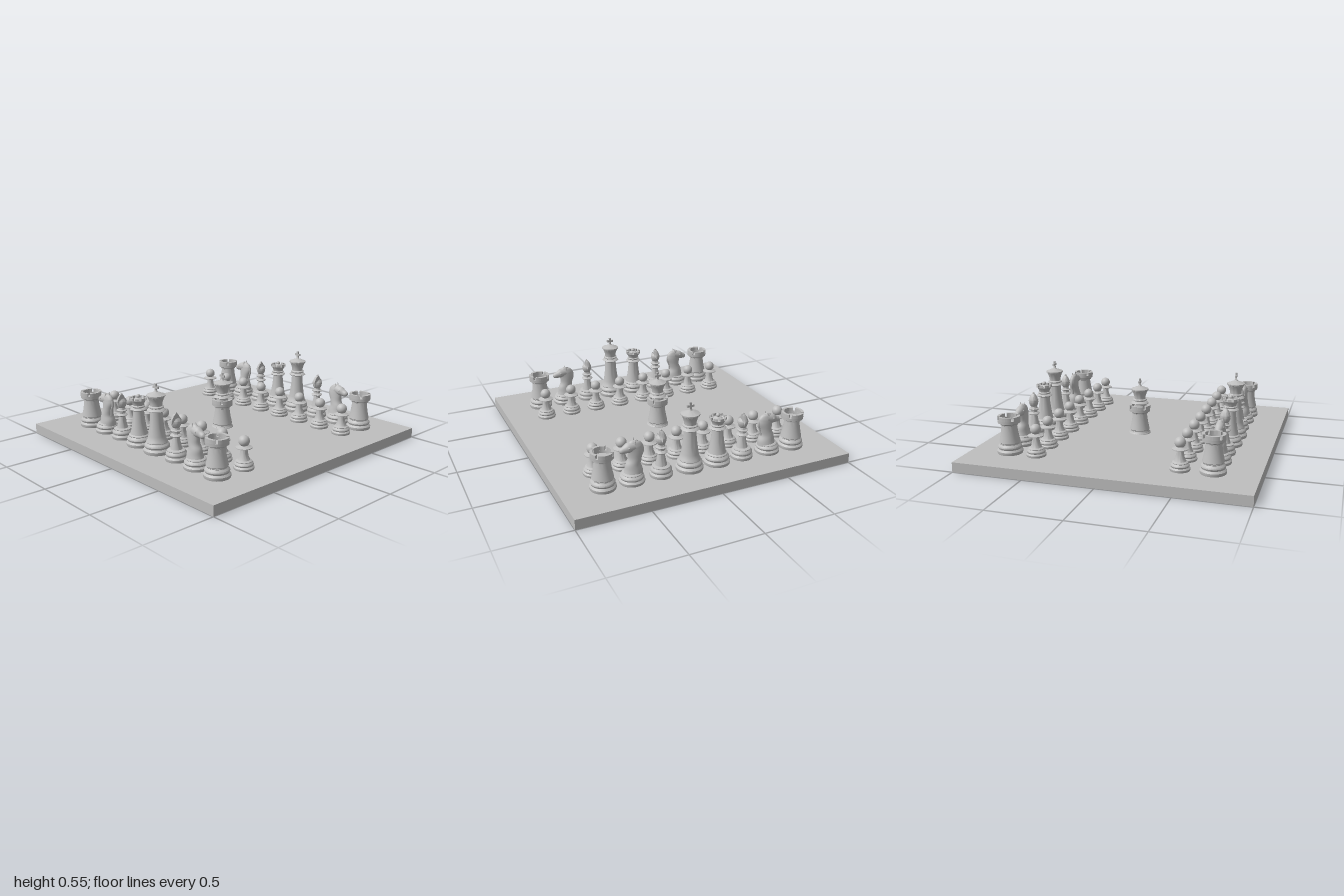
import * as THREE from 'three';
import { toCreasedNormals, mergeVertices } from 'three/addons/utils/BufferGeometryUtils.js';

const stone = new THREE.MeshStandardMaterial({ color: 0xbfbfbf });
stone.name = 'grey stone';
const BOARD = 0.07;

function add(group, name, geo, x = 0, y = 0, z = 0) {
  const mesh = new THREE.Mesh(geo, stone);
  mesh.name = name;
  mesh.position.set(x, y, z);
  group.add(mesh);
  return mesh;
}

// Turned part from [radius, height] pairs, bottom to top
function turned(profile, seg = 32) {
  const pts = profile.map(([r, y]) => new THREE.Vector2(r, y));
  return toCreasedNormals(new THREE.LatheGeometry(pts, seg), 0.6);
}

// Stepped foot shared by all pieces, scaled to radius r and height h
function foot(r, h) {
  return [[0, 0], [0.97, 0], [1, 0.1], [1, 0.28], [0.93, 0.38], [0.87, 0.45], [0.9, 0.52],
    [0.93, 0.62], [0.9, 0.74], [0.8, 0.84], [0.76, 0.9], [0.79, 0.95], [0.78, 1]]
    .map(([a, b]) => [a * r, b * h]);
}

// Ring of n battlement blocks between two radii
function battlements(group, n, inner, outer, y, h, gap, turn) {
  const step = (Math.PI * 2) / n;
  for (let i = 0; i < n; i++) {
    const a0 = turn + i * step + gap / 2, a1 = turn + (i + 1) * step - gap / 2;
    const s = new THREE.Shape();
    s.absarc(0, 0, outer, a0, a1, false);
    s.absarc(0, 0, inner, a1, a0, true);
    s.closePath();
    const g = new THREE.ExtrudeGeometry(s, { depth: h, bevelEnabled: false, curveSegments: 8 });
    g.rotateX(-Math.PI / 2);
    add(group, 'battlement', toCreasedNormals(g, 0.6), 0, y, 0);
  }
}

// Smooth body through elliptical sections [x, y, tilt, half length, half depth]
function loft(sections, rows = 24, seg = 20) {
  const path = new THREE.CatmullRomCurve3(sections.map(s => new THREE.Vector3(s[0], s[1], s[2])));
  const size = new THREE.CatmullRomCurve3(sections.map(s => new THREE.Vector3(s[3], s[4], 0)));
  const pos = [], idx = [];
  for (let i = 0; i <= rows; i++) {
    const p = path.getPoint(i / rows), q = size.getPoint(i / rows);
    for (let j = 0; j < seg; j++) {
      const t = (j / seg) * Math.PI * 2, u = q.x * Math.cos(t);
      pos.push(p.x + u * Math.cos(p.z), p.y + u * Math.sin(p.z), q.y * Math.sin(t));
      if (i === rows) continue;
      const a = i * seg + j, b = i * seg + (j + 1) % seg;
      idx.push(a, a + seg, b, b, a + seg, b + seg);
    }
  }
  const end = sections[sections.length - 1];
  pos.push(end[0], end[1], 0);
  for (let j = 0; j < seg; j++) {
    idx.push(rows * seg + j, (rows + 1) * seg, rows * seg + (j + 1) % seg);
  }
  const g = new THREE.BufferGeometry();
  g.setAttribute('position', new THREE.Float32BufferAttribute(pos, 3));
  g.setIndex(idx);
  g.computeVertexNormals();
  return g;
}

function pawn() {
  const g = new THREE.Group();
  add(g, 'pawnBody', turned([...foot(0.068, 0.055), [0.04, 0.062], [0.031, 0.08], [0.025, 0.11],
    [0.023, 0.132], [0.032, 0.136], [0.054, 0.141], [0.054, 0.146], [0.03, 0.153], [0.02, 0.16], [0, 0.16]]));
  add(g, 'pawnHead', new THREE.SphereGeometry(0.037, 24, 16), 0, 0.186, 0);
  return g;
}

function rook() {
  const g = new THREE.Group();
  add(g, 'rookTower', turned([...foot(0.088, 0.075), [0.073, 0.08], [0.064, 0.12], [0.057, 0.16],
    [0.053, 0.197], [0.06, 0.2], [0.06, 0.207], [0.066, 0.212], [0.076, 0.217], [0.077, 0.238],
    [0.058, 0.238], [0.058, 0.218], [0, 0.218]]));
  battlements(g, 4, 0.058, 0.077, 0.237, 0.026, 0.24, Math.PI / 4);
  return g;
}

function bishop() {
  const g = new THREE.Group();
  add(g, 'bishopBody', turned([...foot(0.078, 0.072), [0.04, 0.078], [0.034, 0.1], [0.026, 0.14],
    [0.023, 0.162], [0.036, 0.165], [0.042, 0.171], [0.036, 0.177], [0.024, 0.183], [0.024, 0.196],
    [0.036, 0.2], [0.038, 0.206], [0.026, 0.212], [0.022, 0.224], [0.03, 0.245], [0, 0.245]]));
  // Mitre: egg shape cut into two halves by a leaning slit
  for (const side of [-1, 1]) {
    const egg = new THREE.SphereGeometry(1, 28, 24);
    const p = egg.attributes.position;
    for (let i = 0; i < p.count; i++) {
      const v = p.getY(i), taper = 1 - 0.35 * Math.max(0, v);
      const y = 0.268 + v * 0.055;
      const cut = 0.006 + Math.max(0, y - 0.25) * 0.12;
      const gap = Math.max(0, Math.min(0.007, (y - 0.245) * 0.25));
      let x = p.getX(i) * 0.036 * taper;
      x = side < 0 ? Math.min(x, cut - gap) : Math.max(x, cut + gap);
      p.setXYZ(i, x, side > 0 && v > 0 ? y - v * 0.02 : y, p.getZ(i) * 0.036 * taper);
    }
    add(g, 'mitreHalf', toCreasedNormals(egg, 0.7));
  }
  add(g, 'mitreTip', new THREE.SphereGeometry(0.008, 12, 8), 0.001, 0.322, 0);
  return g;
}

function queen() {
  const g = new THREE.Group();
  add(g, 'queenBody', turned([...foot(0.092, 0.075), [0.062, 0.082], [0.055, 0.11], [0.045, 0.17],
    [0.039, 0.225], [0.038, 0.25], [0.05, 0.253], [0.058, 0.26], [0.05, 0.267], [0.04, 0.272],
    [0.046, 0.278], [0.046, 0.283], [0.038, 0.288], [0.043, 0.305], [0.056, 0.325], [0.046, 0.325],
    [0.038, 0.318], [0.026, 0.333], [0.012, 0.341], [0, 0.342]]));
  battlements(g, 8, 0.045, 0.058, 0.324, 0.018, 0.28, Math.PI / 8);
  add(g, 'queenFinial', new THREE.SphereGeometry(0.015, 16, 12), 0, 0.349, 0);
  return g;
}

function king() {
  const g = new THREE.Group();
  add(g, 'kingBody', turned([...foot(0.094, 0.08), [0.067, 0.088], [0.059, 0.12], [0.05, 0.18],
    [0.044, 0.24], [0.042, 0.286], [0.054, 0.29], [0.064, 0.296], [0.056, 0.304], [0.043, 0.31],
    [0.051, 0.315], [0.051, 0.322], [0.041, 0.328], [0.042, 0.345], [0.05, 0.372], [0.06, 0.392],
    [0.064, 0.394], [0.064, 0.402], [0.05, 0.407], [0.03, 0.416], [0.013, 0.422], [0.009, 0.43], [0, 0.43]]));
  // Cross with flared arms
  const arm = new THREE.Shape();
  arm.moveTo(-0.005, 0);
  arm.lineTo(0.005, 0);
  arm.lineTo(0.0085, 0.025);
  arm.lineTo(-0.0085, 0.025);
  arm.closePath();
  const geo = new THREE.ExtrudeGeometry(arm, { depth: 0.012, bevelEnabled: false });
  geo.translate(0, 0, -0.006);
  for (let i = 0; i < 4; i++) {
    add(g, 'crossArm', geo, 0, 0.453, 0).rotation.z = (i * Math.PI) / 2;
  }
  add(g, 'crossCentre', new THREE.BoxGeometry(0.011, 0.011, 0.012), 0, 0.453, 0);
  return g;
}

// Faces -x
function knight() {
  const g = new THREE.Group();
  add(g, 'knightFoot', turned([...foot(0.086, 0.068), [0.05, 0.074], [0, 0.074]]));
  add(g, 'knightNeck', loft([
    [0.008, 0.055, 0, 0.066, 0.058], [0.012, 0.09, 0, 0.06, 0.05], [0.008, 0.13, 0.05, 0.05, 0.042],
    [0.02, 0.17, 0.1, 0.046, 0.036], [0.026, 0.21, 0.1, 0.054, 0.033], [0.02, 0.25, 0, 0.058, 0.029],
    [0.018, 0.277, 0, 0.04, 0.02], [0.012, 0.29, 0, 0.012, 0.008]], 32));
  add(g, 'knightMuzzle', loft([
    [0.02, 0.25, 1.85, 0.036, 0.03], [-0.02, 0.245, 1.85, 0.035, 0.031], [-0.05, 0.236, 1.85, 0.025, 0.023],
    [-0.072, 0.23, 1.85, 0.02, 0.019], [-0.083, 0.227, 1.85, 0.01, 0.01]], 18));
  for (const side of [-1, 1]) {
    const ear = add(g, 'knightEar', new THREE.ConeGeometry(0.011, 0.035, 10), 0.018, 0.285, side * 0.014);
    ear.rotation.z = -0.25;
    add(g, 'knightEye', new THREE.SphereGeometry(0.007, 10, 8), -0.025, 0.252, side * 0.027);
  }
  // Mane ridge down the back of the neck
  const mane = new THREE.CatmullRomCurve3([[0.03, 0.285], [0.068, 0.25], [0.077, 0.21], [0.062, 0.17], [0.056, 0.13]]
    .map(([x, y]) => new THREE.Vector3(x, y, 0)));
  add(g, 'knightMane', new THREE.TubeGeometry(mane, 20, 0.009, 8));
  return g;
}

export function createModel() {
  const model = new THREE.Group();
  add(model, 'board', new THREE.BoxGeometry(2, BOARD, 2), 0, BOARD / 2, 0);

  const kinds = { pawn: pawn(), rook: rook(), knight: knight(), bishop: bishop(), queen: queen(), king: king() };
  function place(kind, x, z, turn = 0, y = BOARD) {
    const piece = kinds[kind].clone();
    piece.name = kind;
    piece.position.set(x, y, z);
    piece.rotation.y = turn;
    model.add(piece);
  }

  // Two facing armies
  const order = ['rook', 'knight', 'bishop', 'queen', 'king', 'bishop', 'knight', 'rook'];
  const backX = [-0.7, -0.505, -0.3, -0.106, 0.1, 0.308, 0.515, 0.715];
  const frontX = [-0.69, -0.492, -0.3, -0.1, 0.1, 0.305, 0.503, 0.7];
  order.forEach((kind, i) => {
    const turn = kind === 'knight' && i > 3 ? Math.PI : 0;
    place(kind, backX[i], -0.72, turn);
    place(kind, frontX[i], 0.695, turn);
    place('pawn', -0.71 + i * 0.2025, -0.52);
    place('pawn', -0.7 + i * 0.2025, 0.48);
  });

  // Sunken centre piece: a king rising through a tower
  place('king', 0, 0, 0, 0.004);
  place('rook', 0, 0, 0, 0.02);
  return model;
}
